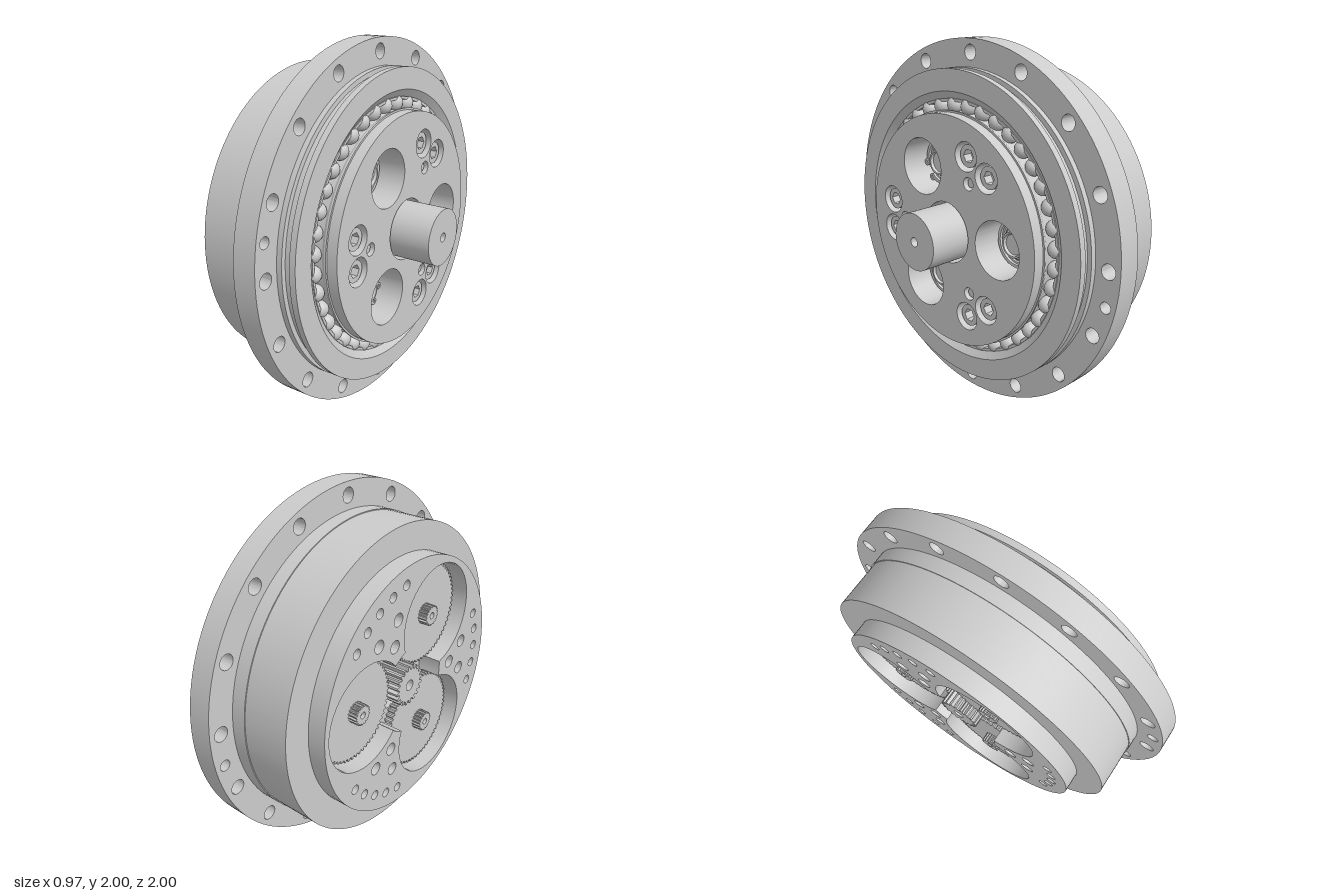
import * as THREE from 'three';
import { toCreasedNormals } from 'three/addons/utils/BufferGeometryUtils.js';

const grey = new THREE.MeshStandardMaterial({ color: 0xcccccc });
const TAU = Math.PI * 2;
const polar = (r, a) => new THREE.Vector2(r * Math.cos(a), r * Math.sin(a));

// Everything is modelled with its axis along local z, then turned to lie along x.
export function createModel() {
  const model = new THREE.Group();
  model.name = 'cycloidalGearbox';
  const unit = new THREE.Group();
  unit.name = 'gearUnit';
  unit.position.y = 1;
  unit.rotation.y = Math.PI / 2;
  model.add(unit);

  const add = (name, geo, parent = unit) => {
    const mesh = new THREE.Mesh(geo, grey);
    mesh.name = name;
    parent.add(mesh);
    return mesh;
  };

  // Turned part from an [r, z] profile
  const turned = (points, segments = 96) => {
    const geo = new THREE.LatheGeometry(points.map(p => new THREE.Vector2(...p)), segments);
    return toCreasedNormals(geo.rotateX(Math.PI / 2), 0.4);
  };
  const ring = (inner, outer, z0, z1, segments = 48) =>
    turned([[inner, z0], [outer, z0], [outer, z1], [inner, z1], [inner, z0]], segments);
  const rod = (r, z0, z1, segments = 40) => turned([[0, z0], [r, z0], [r, z1], [0, z1]], segments);

  // Flat plate with holes between two heights
  const plate = (shape, z0, z1, curveSegments = 48) => {
    const geo = new THREE.ExtrudeGeometry(shape, { depth: z1 - z0, bevelEnabled: false, curveSegments });
    return toCreasedNormals(geo.translate(0, 0, z0), 0.4);
  };
  const disc = r => new THREE.Shape().absarc(0, 0, r, 0, TAU);
  const hole = (shape, c, r) => shape.holes.push(new THREE.Path().absarc(c.x, c.y, r, 0, TAU, true));

  // Toothed outline with trapezoid teeth
  const gear = (root, tip, teeth, bore) => {
    const pts = [];
    for (let i = 0; i < teeth; i++) {
      [[0, root], [0.3, root], [0.5, tip], [0.8, tip]].forEach(([t, r]) => pts.push(polar(r, (i + t) / teeth * TAU)));
    }
    const shape = new THREE.Shape(pts);
    if (bore) hole(shape, new THREE.Vector2(), bore);
    return shape;
  };

  // Outer case with seal grooves and a chamfered mouth
  add('case', turned([[0.7, -0.39], [0.85, -0.39], [0.85, -0.13], [0.855, -0.13], [0.855, 0.11], [0.83, 0.11],
    [0.83, 0.155], [0.855, 0.155], [0.855, 0.19], [0.74, 0.19], [0.7, 0.16], [0.7, -0.39]], 128));

  // Mounting flange with bolt and dowel holes
  const flange = disc(1);
  hole(flange, new THREE.Vector2(), 0.8);
  for (let i = 0; i < 16; i++) hole(flange, polar(0.93, i / 16 * TAU), 0.04);
  [-1, 1].forEach(s => hole(flange, new THREE.Vector2(0.925 * s, -0.185 * s), 0.03));
  add('mountingFlange', plate(flange, -0.05, 0.08, 64));

  // Inner body and main bearing
  add('core', ring(0.17, 0.703, -0.36, 0.06, 96));
  add('innerRace', turned([[0.6, 0.05], [0.622, 0.05], [0.622, 0.15], [0.645, 0.19], [0.645, 0.2], [0.6, 0.2]]));
  add('ballCage', turned([[0.67, 0.05], [0.7, 0.05], [0.7, 0.165], [0.685, 0.165], [0.67, 0.05]]));
  const balls = new THREE.Group();
  balls.name = 'bearingBalls';
  unit.add(balls);
  const ballGeo = new THREE.SphereGeometry(0.046, 18, 12);
  for (let i = 0; i < 40; i++) {
    const p = polar(0.666, (i + 0.5) / 40 * TAU);
    add('bearingBall', ballGeo, balls).position.set(p.x, p.y, 0.135);
  }

  const front = disc(0.635);
  const back = disc(0.7);
  hole(front, new THREE.Vector2(), 0.17);

  // Trefoil opening: three gear pockets joined by a centre bore
  const orbit = 0.38, pocketR = 0.29, boreR = 0.25;
  const meet = Math.acos((boreR ** 2 + orbit ** 2 - pocketR ** 2) / (2 * boreR * orbit));
  const reach = Math.atan2(boreR * Math.sin(meet), boreR * Math.cos(meet) - orbit);
  const trefoil = [];

  // Parts repeated three times about the axis
  const hexSocket = disc(0.06);
  hexSocket.holes.push(new THREE.Path(Array.from({ length: 6 }, (_, i) => polar(0.036, -i / 6 * TAU))));
  const headGeo = plate(hexSocket, 0.19, 0.24, 32);
  const boltBase = rod(0.06, 0.06, 0.19, 32);
  const planetGeo = plate(gear(0.264, 0.278, 60, 0.04), -0.41, -0.365, 24);
  const splineGeo = plate(gear(0.047, 0.056, 18, 0.018), -0.46, -0.4, 16);
  const clipPts = [];
  for (let i = 0; i <= 48; i++) clipPts.push(polar(0.135, Math.PI / 2 + 0.3 + i / 48 * (TAU - 0.6)));
  for (let i = 48; i >= 0; i--) clipPts.push(polar(0.118, Math.PI / 2 + 0.3 + i / 48 * (TAU - 0.6)));
  const clipGeo = plate(new THREE.Shape(clipPts), 0.1, 0.115);

  for (let k = 0; k < 3; k++) {
    const turn = k / 3 * TAU;
    const c = polar(orbit, turn);
    for (let i = 0; i <= 40; i++) trefoil.push(polar(pocketR, turn - reach + i / 40 * 2 * reach).add(c));
    for (let i = 1; i < 6; i++) trefoil.push(polar(boreR, turn + meet + i / 6 * (TAU / 3 - 2 * meet)));

    // Crankshaft with its bearing, clip and planet gear
    const crank = new THREE.Group();
    crank.name = 'crankAssembly' + (k + 1);
    crank.position.set(c.x, c.y, 0);
    crank.rotation.z = turn;
    unit.add(crank);
    hole(front, c, 0.155);
    add('bearingOuterRing', ring(0.108, 0.128, 0.05, 0.1), crank);
    add('bearingInnerRing', ring(0.08, 0.098, 0.05, 0.1), crank);
    add('crankshaft', turned([[0, 0.05], [0.085, 0.05], [0.085, 0.115], [0.07, 0.13], [0.07, 0.15], [0.06, 0.15],
      [0.055, 0.135], [0, 0.135]], 40), crank);
    add('retainingClip', clipGeo, crank);
    [-0.045, 0.045].forEach(x => {
      add('clipEar', ring(0.009, 0.02, 0.1, 0.115, 20), crank).position.set(x, 0.128, 0);
    });
    add('planetGear', planetGeo, crank);
    add('splinedPin', splineGeo, crank);
    add('pinCore', rod(0.042, -0.44, -0.36, 24), crank);

    // Clamping bolts, dowel and tapped holes in the web between pockets
    const web = turn + Math.PI / 3;
    const at = (r, side) => new THREE.Vector2(r, side).rotateAround(new THREE.Vector2(), web);
    [-0.085, 0.085].forEach(side => {
      const p = at(0.46, side);
      hole(front, p, 0.078);
      hole(back, p, 0.035);
      add('boltHead', headGeo).position.set(p.x, p.y, 0);
      add('boltBody', boltBase).position.set(p.x, p.y, 0);
    });
    const d = at(0.35, 0);
    hole(front, d, 0.035);
    hole(back, d, 0.035);
    add('dowel', rod(0.025, 0.05, 0.24, 24)).position.set(d.x, d.y, 0);
    [-0.36, -0.18, 0, 0.18, 0.36].forEach(a => hole(back, polar(0.61, web + a), 0.026));
  }

  // Front and rear carrier plates
  back.holes.push(new THREE.Path(trefoil.reverse()));
  add('frontCarrierPlate', plate(front, 0.06, 0.26));
  add('rearCarrierPlate', plate(back, -0.49, -0.36));

  // Input shaft and sun gear
  add('inputShaft', turned([[0, -0.3], [0.155, -0.3], [0.155, 0.48], [0.025, 0.48], [0.02, 0.4], [0, 0.4]], 64));
  add('sunGear', plate(gear(0.093, 0.115, 20, 0.03), -0.47, -0.3, 24));
  add('sunGearCore', rod(0.06, -0.42, -0.3, 24));

  return model;
}
